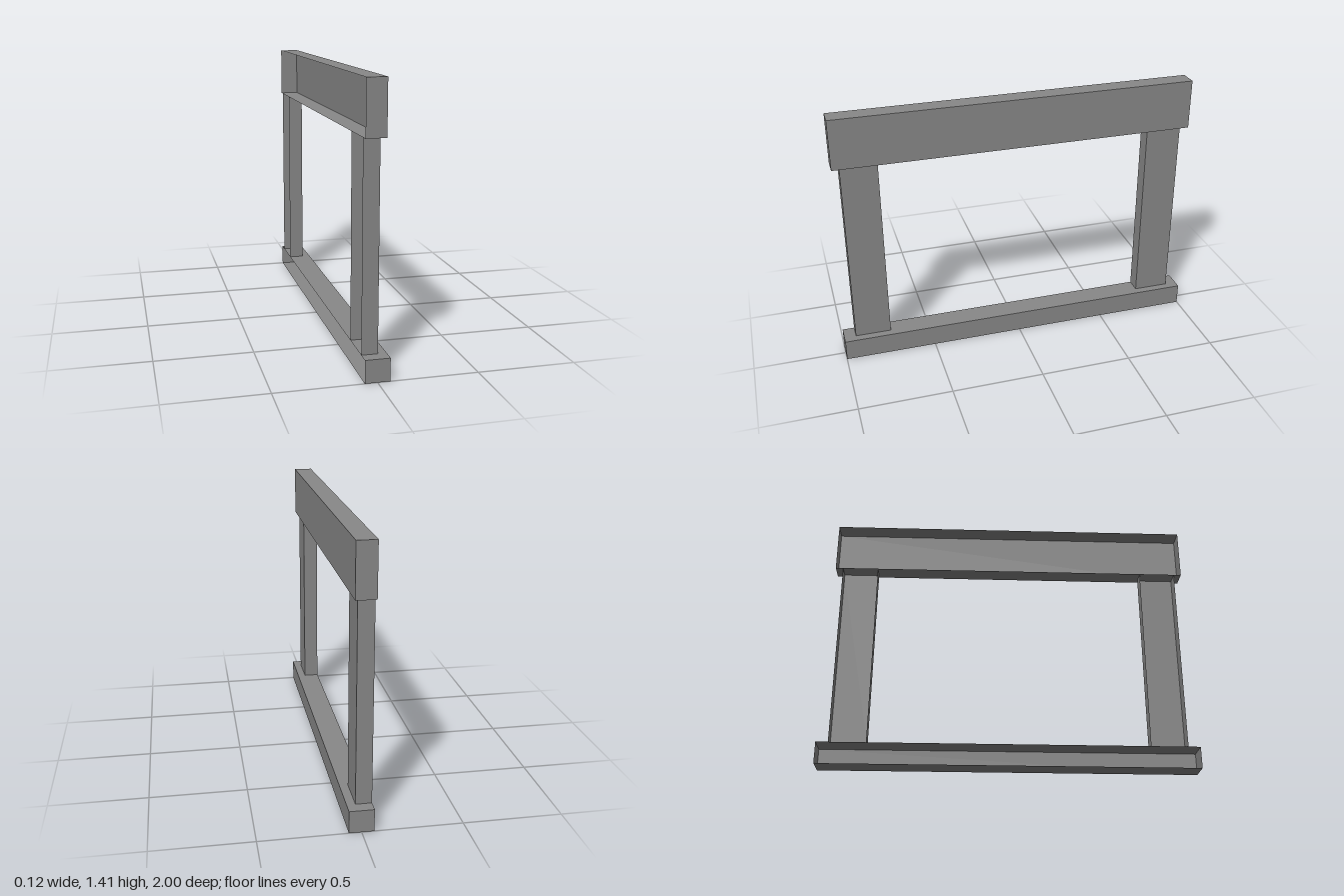
import * as THREE from 'three';

const BACK = -0.062; // common plane of the open backs

// Box from the back plane to xFront, with its -x side left open
function openBox(xFront, y0, y1, z0, z1) {
  const depth = xFront - BACK;
  const geometry = new THREE.BoxGeometry(depth, y1 - y0, z1 - z0);
  const index = Array.from(geometry.index.array);
  index.splice(6, 6); // drop the -x face
  geometry.setIndex(index);
  geometry.clearGroups();
  geometry.translate(BACK + depth / 2, (y0 + y1) / 2, (z0 + z1) / 2);
  return geometry;
}

export function createModel() {
  const group = new THREE.Group();
  group.name = 'windowSurround';

  const grey = new THREE.MeshStandardMaterial({ color: 0x888888, side: THREE.DoubleSide });
  grey.name = 'grey';

  const add = (name, ...size) => {
    const mesh = new THREE.Mesh(openBox(...size), grey);
    mesh.name = name;
    group.add(mesh);
  };

  // Sill and lintel
  add('sill', 0.062, 0, 0.115, -1, 1);
  add('lintel', 0.038, 1.142, 1.412, -0.977, 0.977);

  // Side posts
  add('frontPost', 0.019, 0.115, 1.142, 0.741, 0.936);
  add('backPost', 0.019, 0.115, 1.142, -0.936, -0.741);

  return group;
}
